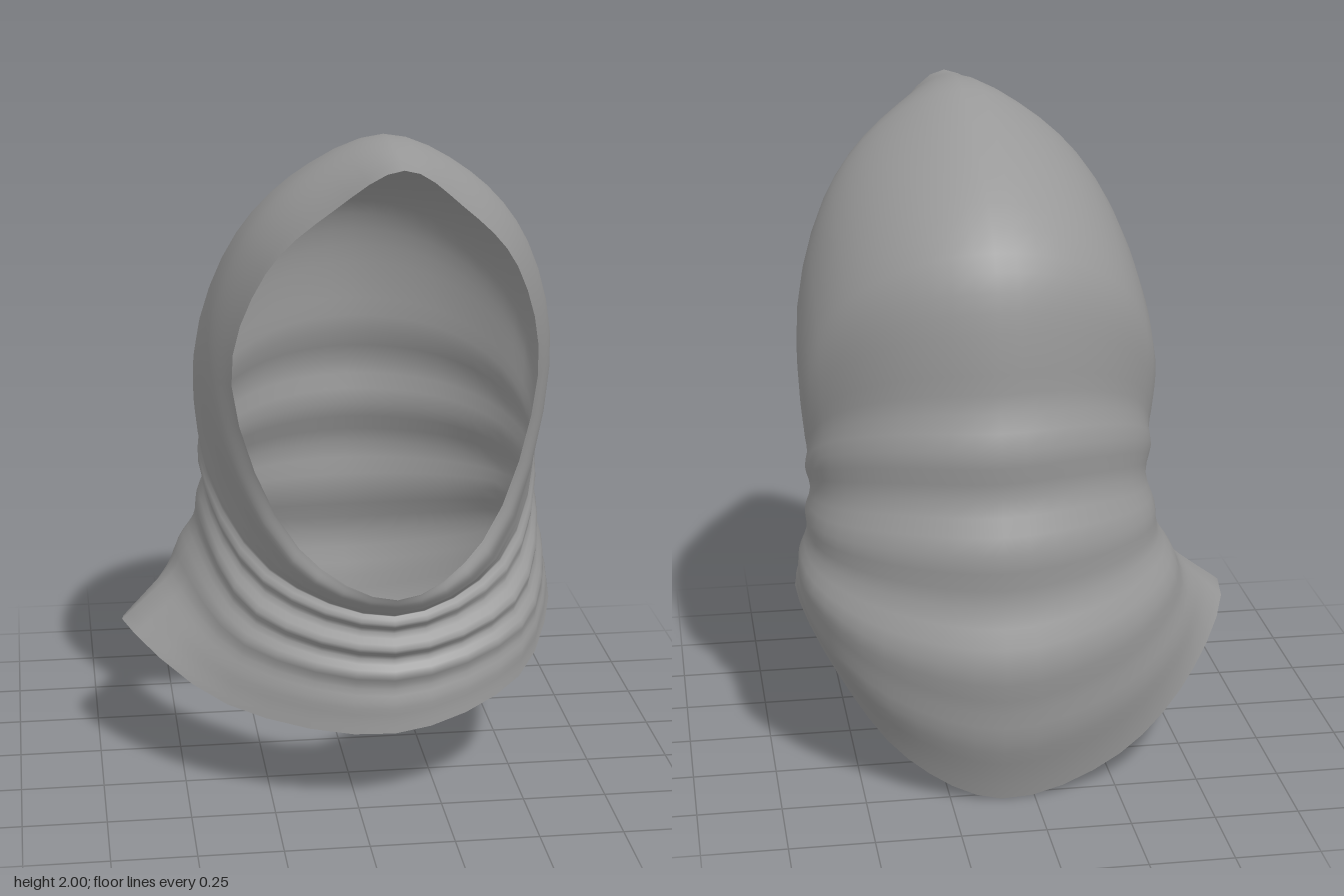
import * as THREE from 'three';

const CENTRE = 0.1; // the hood sits slightly to one side of the flared collar
const COLUMNS = 40;
const ROW_STEPS = 8;

// Half rings from chin, round the left side, to the crown or back.
const halfRings = [
  [[0, .7, .585], [.27, .82, .45], [.45, 1.28, .315], [.36, 1.64, .435], [.18, 1.845, .555], [0, 1.97, .645]], // face rim
  [[0, .675, .57], [.29, .78, .45], [.515, 1.27, .17], [.43, 1.66, .22], [.25, 1.88, .25], [0, 1.99, .23]], // crown
  [[0, .645, .545], [.32, .74, .39], [.535, 1.15, -.08], [.45, 1.43, -.23], [.24, 1.6, -.37], [0, 1.65, -.425]], // back of head
  [[0, .625, .53], [.35, .71, .33], [.52, .97, -.08], [.455, 1.1, -.26], [.27, 1.18, -.43], [0, 1.2, -.515]], // nape
  [[0, .53, .54], [.38, .6, .36], [.52, .78, -.05], [.48, .79, -.3], [.3, .8, -.48], [0, .8, -.575]], // neck
  [[0, .42, .55], [.41, .49, .37], [.55, .61, -.04], [.53, .55, -.31], [.34, .43, -.52], [0, .36, -.63]], // collar
  [[0, .27, .56], [.4, .36, .39], [.56, .51, 0], [.46, .34, -.3], [.27, .12, -.46], [0, .005, -.535]], // hem
];

// Mirrors a half ring into a smooth loop; the collar hangs wider and lower on the right.
function closedRing(half, ring) {
  const flare = 0.38 * (Math.max(0, ring - 4) / 2) ** 2;
  const left = half.map(([x, y, z]) => new THREE.Vector3(CENTRE + x, y, z));
  const right = half.slice(1, -1).reverse().map(([x, y, z]) => {
    const widen = 1 + flare * (1 - 1.2 * Math.max(0, z));
    return new THREE.Vector3(CENTRE - x * widen, y - flare * 0.3 * x, z);
  });
  return new THREE.CatmullRomCurve3([...left, ...right], true).getPoints(COLUMNS).slice(0, COLUMNS);
}

// Pushes the cloth in and out in soft folds below the head, deepest at front and back.
function addFolds(point, v) {
  const fade = THREE.MathUtils.smoothstep(v, 2.7, 3.2) * (1 - THREE.MathUtils.smoothstep(v, 3.9, 6));
  const depth = (0.007 + 0.035 * point.z ** 2) * fade * Math.cos((v - 4) * Math.PI * 2 / 0.75);
  const outward = new THREE.Vector3(point.x - CENTRE, 0, point.z).normalize();
  return point.addScaledVector(outward, depth);
}

function hoodGeometry() {
  const loops = halfRings.map(closedRing);
  const rows = (loops.length - 1) * ROW_STEPS;
  const positions = [], indices = [];

  // Strands run from rim to hem through matching points of the loops.
  const strands = Array.from({ length: COLUMNS }, (_, j) =>
    new THREE.CatmullRomCurve3(loops.map((loop) => loop[j])));
  for (let i = 0; i <= rows; i++) {
    for (const strand of strands) {
      positions.push(...addFolds(strand.getPoint(i / rows), i / ROW_STEPS).toArray());
    }
  }
  for (let i = 0; i < rows; i++) {
    for (let j = 0; j < COLUMNS; j++) {
      const a = i * COLUMNS + j, b = i * COLUMNS + (j + 1) % COLUMNS;
      const c = a + COLUMNS, d = b + COLUMNS;
      indices.push(a, c, b, b, c, d);
    }
  }

  const geometry = new THREE.BufferGeometry();
  geometry.setAttribute('position', new THREE.Float32BufferAttribute(positions, 3));
  geometry.setIndex(indices);
  geometry.computeVertexNormals();
  return geometry;
}

export function createModel() {
  const model = new THREE.Group();
  model.name = 'clothHood';
  const cloth = new THREE.MeshStandardMaterial({ color: 0x999999, side: THREE.DoubleSide });
  const hood = new THREE.Mesh(hoodGeometry(), cloth);
  hood.name = 'hoodAndCollar';
  model.add(hood);
  return model;
}
